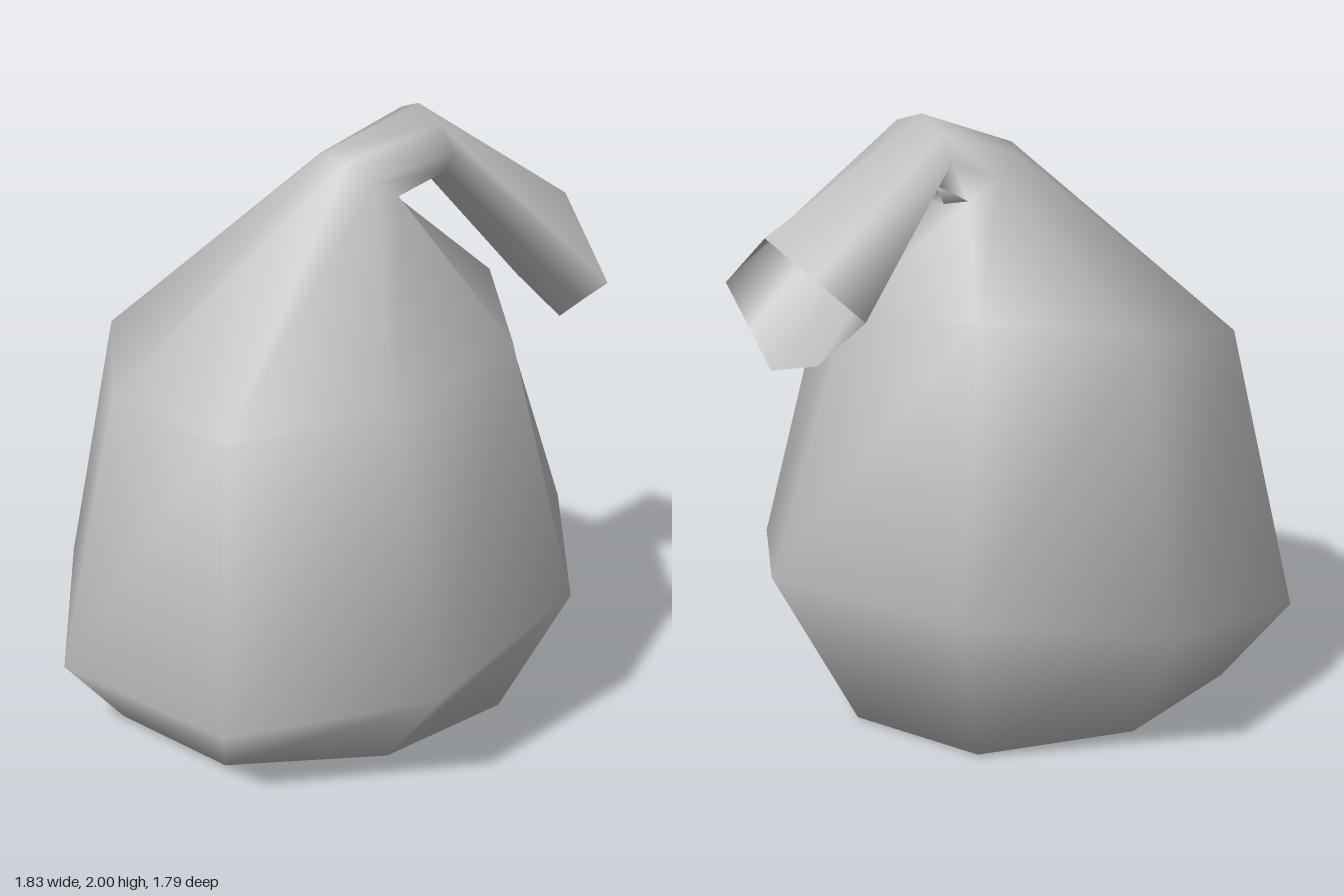
import * as THREE from 'three';

const SIDES = 8;

// Ring given by centre, a semi-axis towards the right-hand point, half depth, and diagonal fullness
function ring(center, axis, depth, tiltZ = 0, fullness = 0.74) {
  const pts = [];
  for (let i = 0; i < SIDES; i++) {
    const a = (i / SIDES) * Math.PI * 2;
    const k = i % 2 ? fullness / Math.SQRT1_2 : 1;
    const c = Math.cos(a) * k, s = Math.sin(a) * k;
    pts.push([center[0] + axis[0] * c, center[1] + axis[1] * c + tiltZ * s, center[2] + depth * s]);
  }
  return pts;
}

export function createModel() {
  const cloth = new THREE.MeshStandardMaterial({ color: 0xbcbcbc, side: THREE.DoubleSide });
  cloth.name = 'grey cloth';

  // Widest ring, sloping up to the right and to the back
  const belly = [
    [0.91, 0.06], [0.62, 0.63], [0, 0.89], [-0.64, 0.67],
    [-0.92, 0], [-0.64, -0.68], [0.03, -0.9], [0.62, -0.59],
  ].map(([x, z]) => [x, 0.4 + 0.17 * x - 0.072 * z, z]);

  // Flared open mouth, from its lowest point round by the front
  const mouth = [
    [0.87, 1.23, 0.09], [0.86, 1.33, 0.24], [0.85, 1.44, 0.41], [0.865, 1.55, 0.245],
    [0.88, 1.66, 0.08], [0.85, 1.58, -0.165], [0.82, 1.5, -0.41], [0.85, 1.31, -0.17],
  ];

  const rings = [
    ring([-0.04, 0.012, 0], [0.68, -0.006], 0.61),               // base
    belly,
    ring([-0.05, 1.285, 0.02], [0.68, 0.125], 0.635, -0.08),     // shoulder
    ring([0.15, 1.785, 0], [0.13, -0.085], 0.12),                // tied neck
    ring([0.38, 1.88, 0], [0.02, -0.12], 0.2, 0, 0.66),          // bend of the neck
    mouth,
  ];

  // Skin over the rings, closed below and open at the mouth
  const positions = rings.flat(2);
  const index = [];
  for (let r = 0; r < rings.length - 1; r++) {
    for (let i = 0; i < SIDES; i++) {
      const j = (i + 1) % SIDES;
      const a = r * SIDES + i, b = r * SIDES + j;
      index.push(a, a + SIDES, b, b, a + SIDES, b + SIDES);
    }
  }
  const base = positions.length / 3;
  positions.push(-0.04, 0, 0);
  for (let i = 0; i < SIDES; i++) index.push(base, i, (i + 1) % SIDES);

  const geometry = new THREE.BufferGeometry();
  geometry.setAttribute('position', new THREE.Float32BufferAttribute(positions, 3));
  geometry.setIndex(index);
  geometry.computeVertexNormals();

  const sack = new THREE.Mesh(geometry, cloth);
  sack.name = 'sack';
  const group = new THREE.Group();
  group.name = 'clothSack';
  group.add(sack);
  return group;
}
